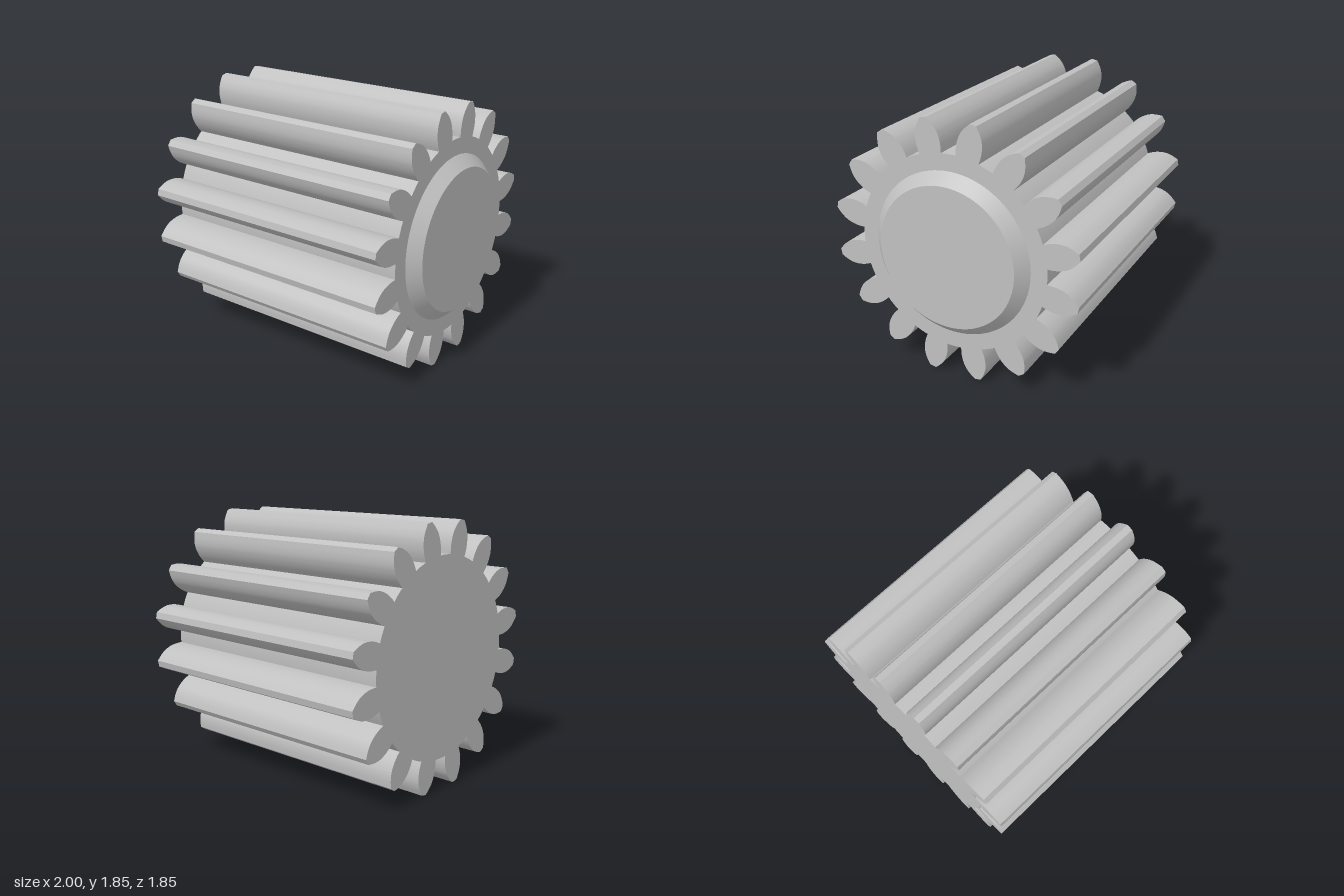
import * as THREE from 'three';
import { toCreasedNormals } from 'three/addons/utils/BufferGeometryUtils.js';

const TEETH = 16, CENTRE_Y = 0.925;
// Half of a tooth: [distance from axis, half thickness], root to tip
const FLANK = [[0.7, 0.083], [0.74, 0.09], [0.78, 0.092], [0.82, 0.088], [0.86, 0.077], [0.9, 0.055], [0.94, 0.0235]];

function gearShape() {
  const shape = new THREE.Shape();
  const step = (Math.PI * 2) / TEETH;
  const rootR = Math.hypot(...FLANK[0]);
  const rootA = Math.atan2(FLANK[0][1], FLANK[0][0]);
  for (let i = 0; i < TEETH; i++) {
    const a = (i + 0.5) * step;
    const side = (s) => FLANK.map(([r, t]) => new THREE.Vector2(
      r * Math.cos(a) - s * t * Math.sin(a), r * Math.sin(a) + s * t * Math.cos(a)));
    const rise = side(-1), fall = side(1).reverse();
    if (i === 0) shape.moveTo(rise[0].x, rise[0].y);
    shape.splineThru(rise.slice(1));
    shape.lineTo(fall[0].x, fall[0].y);
    shape.splineThru(fall.slice(1));
    // root land up to the next tooth
    shape.absarc(0, 0, rootR, a + rootA, a + step - rootA, false);
  }
  return shape;
}

export function createModel() {
  const model = new THREE.Group();
  model.name = 'pinionGear';
  const steel = new THREE.MeshStandardMaterial({ color: 0xc0c0c0 });
  steel.name = 'steelGrey';

  // Toothed body, extruded along x
  const body = new THREE.ExtrudeGeometry(gearShape(), { depth: 1.92, bevelEnabled: false, curveSegments: 4 });
  body.rotateY(Math.PI / 2);
  const gear = new THREE.Mesh(toCreasedNormals(body, 0.5), steel);
  gear.name = 'toothedBody';
  gear.position.set(-1, CENTRE_Y, 0);
  model.add(gear);

  // Chamfered boss on the right-hand end
  const bossShape = new THREE.CylinderGeometry(0.51, 0.588, 0.08, 96);
  bossShape.rotateZ(-Math.PI / 2);
  const boss = new THREE.Mesh(bossShape, steel);
  boss.name = 'chamferedBoss';
  boss.position.set(0.96, CENTRE_Y, 0);
  model.add(boss);

  return model;
}
